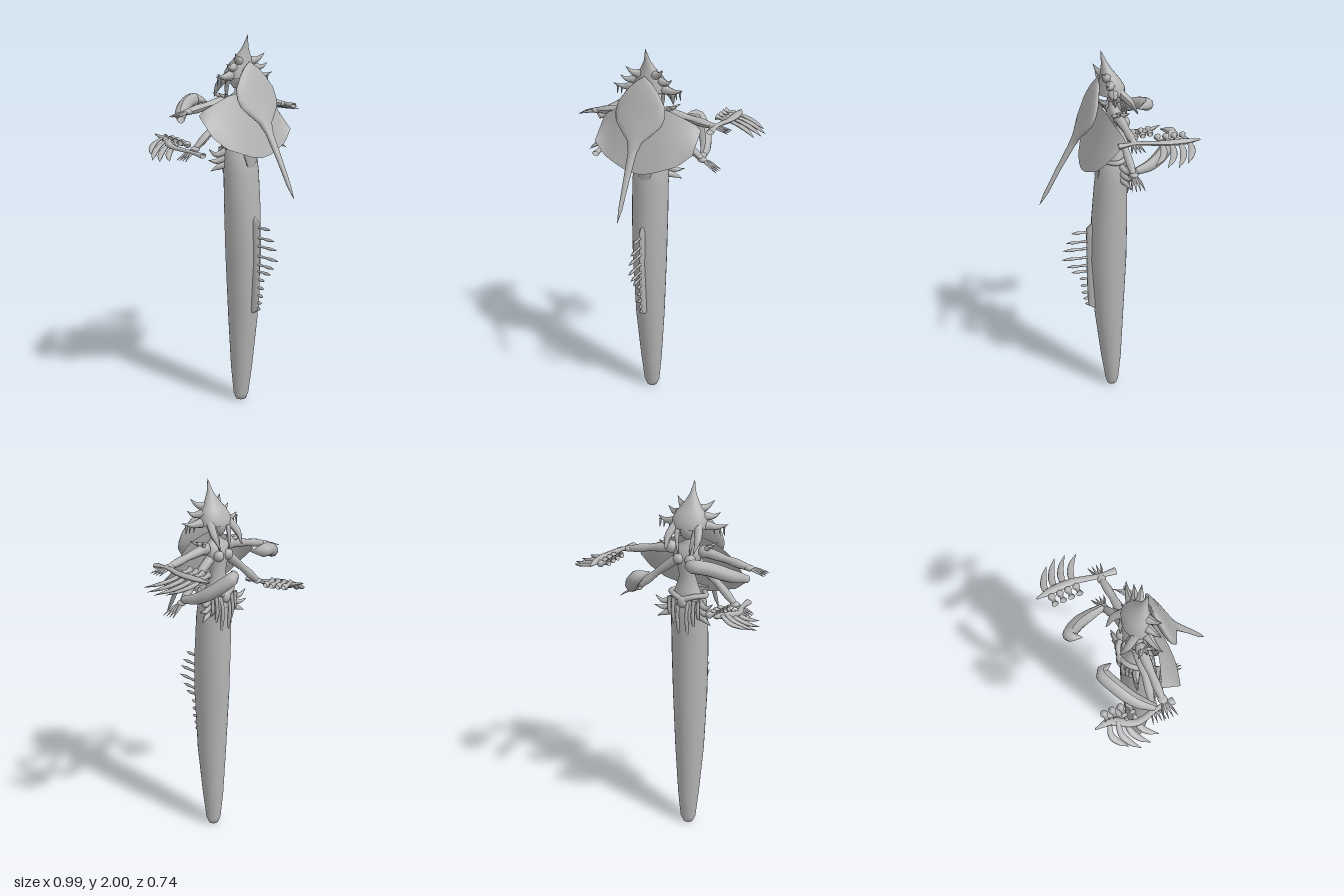
import * as THREE from 'three';

const CX = -0.06; // the body axis sits left of the centre

export function createModel() {
  const model = new THREE.Group();
  const grey = new THREE.MeshStandardMaterial({ color: 0xb4b4b4, side: THREE.DoubleSide });
  grey.name = 'stone grey';
  const add = (name, geometry) => {
    const mesh = new THREE.Mesh(geometry, grey);
    mesh.name = name;
    model.add(mesh);
    return mesh;
  };

  // Stack of horizontal ellipses, bottom to top: [y, z, radiusX, radiusZ]
  const loft = (name, rows, sides = 20, x = CX) => {
    const pos = [], index = [];
    rows.forEach(([y, z, rx, rz], i) => {
      for (let j = 0; j < sides; j++) {
        const a = (j / sides) * Math.PI * 2;
        pos.push(x + rx * Math.cos(a), y, z + rz * Math.sin(a));
        if (i === rows.length - 1) continue;
        const k = (j + 1) % sides, p = i * sides, q = p + sides;
        index.push(p + j, q + j, p + k, p + k, q + j, q + k);
      }
    });
    const g = new THREE.BufferGeometry();
    g.setAttribute('position', new THREE.Float32BufferAttribute(pos, 3));
    g.setIndex(index);
    g.computeVertexNormals();
    return add(name, g);
  };

  // Tapered tube along a curve; flat squashes it vertically
  const limb = (name, points, radii, flat = 1, sides = 8) => {
    const path = new THREE.CatmullRomCurve3(points.map((p) => new THREE.Vector3(...p)));
    const n = (points.length - 1) * 5;
    const g = new THREE.TubeGeometry(path, n, 1, sides, false);
    const pos = g.attributes.position, v = new THREE.Vector3();
    for (let i = 0; i <= n; i++) {
      const c = path.getPointAt(i / n);
      const t = (i / n) * (radii.length - 1), k = Math.min(Math.floor(t), radii.length - 2);
      const r = THREE.MathUtils.lerp(radii[k], radii[k + 1], t - k);
      for (let j = 0; j <= sides; j++) {
        const id = i * (sides + 1) + j;
        v.fromBufferAttribute(pos, id).sub(c).multiplyScalar(r);
        v.y *= flat;
        v.add(c);
        pos.setXYZ(id, v.x, v.y, v.z);
      }
    }
    g.computeVertexNormals();
    return add(name, g);
  };
  const ball = (name, [x, y, z], [a, b, c]) => {
    const m = add(name, new THREE.SphereGeometry(1, 14, 10));
    m.position.set(x, y, z);
    m.scale.set(a, b, c);
  };

  // Long tail
  loft('tail', [
    [0, -0.025, 0.001, 0.001], [0.005, -0.025, 0.03, 0.028], [0.04, -0.025, 0.045, 0.038],
    [0.2, -0.02, 0.06, 0.058], [0.5, -0.008, 0.08, 0.082], [0.85, -0.005, 0.092, 0.1],
    [1.1, -0.01, 0.097, 0.097], [1.3, -0.018, 0.098, 0.087], [1.4, -0.025, 0.092, 0.08],
    [1.44, -0.03, 0.07, 0.06],
  ], 28);

  // Ridge with its row of spines
  loft('tailRidge', [
    [0.53, 0.06, 0.012, 0.005], [0.56, 0.07, 0.018, 0.045], [0.8, 0.07, 0.018, 0.05],
    [1.04, 0.07, 0.018, 0.05], [1.08, 0.06, 0.012, 0.02],
  ], 10);
  [[1.02, 0.2], [0.965, 0.23], [0.92, 0.25], [0.865, 0.258], [0.817, 0.23], [0.78, 0.205],
    [0.735, 0.16], [0.69, 0.155], [0.645, 0.15], [0.605, 0.14], [0.57, 0.13]].forEach(([y, z]) => {
    limb('tailSpine', [[CX, y, 0.08], [CX, y, (z + 0.08) / 2], [CX, y, z]], [0.011, 0.008, 0.006, 0.01, 0.001]);
  });

  // Torso, neck and face
  loft('torso', [
    [1.36, -0.035, 0.09, 0.075], [1.42, -0.04, 0.085, 0.065], [1.48, -0.045, 0.06, 0.05],
    [1.54, -0.045, 0.042, 0.036], [1.6, -0.045, 0.055, 0.045], [1.65, -0.045, 0.075, 0.045],
    [1.69, -0.035, 0.07, 0.034], [1.715, -0.03, 0.026, 0.024], [1.77, -0.03, 0.022, 0.022],
  ]);
  ball('face', [CX, 1.785, -0.04], [0.042, 0.06, 0.048]);

  // Pointed helmet and crest
  loft('helmet', [
    [1.785, -0.02, 0.09, 0.07], [1.82, -0.022, 0.092, 0.066], [1.86, -0.012, 0.072, 0.05],
    [1.9, 0.002, 0.04, 0.03], [1.94, 0.015, 0.016, 0.016], [2, 0.033, 0.001, 0.001],
  ]);

  // Cape: a bulged sheet between a top and a bottom edge
  const edge = (pts, x) => {
    const i = Math.max(1, pts.findIndex((p) => p[0] >= x - 1e-6)), [a, b] = [pts[i - 1], pts[i]];
    return THREE.MathUtils.mapLinear(x, a[0], b[0], a[1], b[1]);
  };
  const cape = new THREE.PlaneGeometry(2, 1, 22, 8), cp = cape.attributes.position;
  for (let i = 0; i < cp.count; i++) {
    const u = cp.getX(i), t = 0.5 - cp.getY(i), x = Math.abs(u);
    const top = edge([[0, 1.73], [0.48, 1.7], [0.9, 1.64], [1, 1.61]], x);
    const low = edge([[0, 1.39], [0.25, 1.4], [0.75, 1.45], [1, 1.51]], x);
    cp.setXYZ(i, CX + 0.275 * u, top + (low - top) * t, 0.035 + 0.105 * t - 0.065 * u * u);
  }
  cape.computeVertexNormals();
  add('cape', cape);

  // Ray-shaped back shield with whip tail
  loft('backRay', [
    [1.21, 0.365, 0.001, 0.001], [1.27, 0.33, 0.01, 0.012], [1.4, 0.26, 0.016, 0.014],
    [1.52, 0.19, 0.023, 0.018], [1.57, 0.16, 0.042, 0.022], [1.61, 0.138, 0.088, 0.026],
    [1.65, 0.118, 0.126, 0.028], [1.69, 0.1, 0.136, 0.028], [1.74, 0.085, 0.128, 0.026],
    [1.8, 0.068, 0.085, 0.02], [1.84, 0.056, 0.045, 0.013], [1.87, 0.047, 0.001, 0.001],
  ], 18);

  // Pointed cloth at the hips
  const cloth = new THREE.ConeGeometry(0.075, 0.19, 16, 1, true);
  cloth.rotateX(Math.PI);
  cloth.scale(1, 1, 0.25);
  add('hipCloth', cloth).position.set(CX, 1.36, 0.058);

  // Paired parts
  for (const s of [-1, 1]) {
    const at = (x, y, z) => [CX + s * x, y, z];
    ball('chest', at(0.032, 1.635, -0.085), [0.028, 0.028, 0.026]);
    ball('shoulder', at(0.09, 1.675, -0.04), [0.034, 0.032, 0.03]);

    // Crown spikes, side horns and fangs
    limb('crownSpike', [at(0.04, 1.87, 0.01), at(0.07, 1.88, 0.03), at(0.1, 1.91, 0.05)], [0.025, 0.013, 0.001]);
    limb('crownSpike', [at(0.07, 1.84, 0), at(0.11, 1.84, 0.02), at(0.14, 1.86, 0.03)], [0.024, 0.013, 0.001]);
    limb('sideHorn', [at(0.08, 1.8, -0.01), at(0.14, 1.795, 0), at(0.19, 1.81, 0.015)], [0.026, 0.014, 0.001]);
    for (const x of [0.12, 0.15, 0.172])
      limb('hornFang', [at(x, 1.8, 0), at(x, 1.78, 0), at(x + 0.004, 1.755, 0)], [0.007, 0.005, 0.001], 1, 5);

    // Face tendrils
    limb('tendril', [at(0.06, 1.8, -0.05), at(0.08, 1.75, -0.1), at(0.075, 1.69, -0.14)], [0.022, 0.018, 0.003]);
    limb('tendril', [at(0.05, 1.79, -0.06), at(0.04, 1.72, -0.085), at(0.03, 1.66, -0.09)], [0.014, 0.01, 0.003]);

    // Shoulder spikes
    for (let i = 0; i < 3; i++)
      limb('shoulderSpike', [at(0.09, 1.69, -0.04), at(0.115, 1.7, -0.06 + i * 0.03),
        at(0.14, 1.715, -0.08 + i * 0.045)], [0.015, 0.01, 0.001], 1, 6);

    // Upper and lower arms with clawed hands
    const arms = [
      [at(0.09, 1.675, -0.04), at(0.21, 1.655, -0.045), at(0.33, 1.632, -0.05), -0.02],
      [at(0.06, 1.62, -0.05), at(0.17, 1.53, -0.055), at(0.27, 1.44, -0.07), -0.05],
    ];
    for (const [a, b, c, drop] of arms) {
      limb('arm', [a, b, c], [0.026, 0.024, 0.018, 0.022, 0.014], 1, 10);
      ball('hand', c, [0.026, 0.015, 0.022]);
      for (let i = 0; i < 4; i++) {
        const dz = (i - 1.5) * 0.014;
        limb('finger', [c, [c[0] + s * 0.045, c[1] + drop * 0.4, c[2] + dz],
          [c[0] + s * 0.09, c[1] + drop, c[2] + dz * 1.6]], [0.01, 0.007, 0.001], 1, 6);
      }
    }

    // Hip fins and hanging strips
    [[1.41, 0.16, 1.425], [1.375, 0.165, 1.37], [1.34, 0.15, 1.31]].forEach(([y, x, tip]) =>
      limb('hipFin', [at(0.075, y, -0.06), at(0.12, y - 0.015, -0.08), at(x, tip, -0.09)], [0.02, 0.014, 0.001]));
    [[0.025, 1.24], [0.055, 1.29], [0.08, 1.33]].forEach(([x, y]) =>
      limb('hipStrip', [at(x, 1.43, -0.09), at(x, 1.36, -0.118 + x * 0.3), at(x, y, -0.108 + x * 0.3)],
        [0.012, 0.009, 0.011, 0.006], 1, 6));
    limb('hipBand', [at(0, 1.43, -0.108), at(0.06, 1.45, -0.09), at(0.095, 1.44, -0.03), at(0.06, 1.44, 0.03)],
      [0.016, 0.014, 0.014, 0.01]);
  }
  ball('beltOrnament', [CX, 1.42, -0.11], [0.026, 0.03, 0.018]);

  // Curved horns held in two of the hands
  limb('curvedHorn', [[-0.4, 1.59, -0.09], [-0.34, 1.62, -0.16], [-0.25, 1.66, -0.22], [-0.17, 1.67, -0.245], [-0.145, 1.66, -0.19]],
    [0.018, 0.03, 0.034, 0.034, 0.034, 0.002], 1, 10);
  limb('curvedHorn', [[0.21, 1.46, -0.08], [0.19, 1.48, -0.16], [0.15, 1.53, -0.24], [0.08, 1.6, -0.3], [0.045, 1.61, -0.25]],
    [0.018, 0.028, 0.033, 0.034, 0.032, 0.002], 1, 10);

  // Rib fans on long bones: side, bone x, height, slope of the ribs, rise of the bone
  for (const [s, x0, y0, slope, rise] of [[1, 0.29, 1.635, 0.28, 0], [-1, -0.365, 1.43, 0.6, 0.06]]) {
    limb('fanBone', [[x0 - s * 0.005, y0 - 0.01, 0.03], [x0, y0, -0.06], [x0 + s * 0.025, y0 + rise * 0.3, -0.18],
      [x0 + 0.025, y0 + rise * 0.6, -0.29], [x0 + 0.015, y0 + rise, -0.37]],
    [0.02, 0.012, 0.015, 0.018, 0.022, 0.02, 0.004], 0.7);
    const reach = s > 0 ? 0.19 : 0.12;
    for (let i = 0; i < 4; i++) {
      const z = -0.3 + i * 0.042, y = y0 + rise * (0.7 - i * 0.1), len = reach + [-0.02, 0.005, 0, -0.02][i];
      const rib = (t, dz) => [x0 + s * t * len, y - t * len * slope, z + dz];
      limb('fanRib', [rib(-0.1, 0), rib(0.35, -0.012 + i * 0.004), rib(0.72, 0.01 + i * 0.005), rib(1.05, 0.045 + i * 0.01)],
        [0.01, 0.014, 0.017, 0.013, 0.001], 0.5);
      const kx = s > 0 ? 0.27 : -0.31;
      limb('fanKnuckle', [[kx - 0.03, y + 0.008, z], [kx, y, z], [kx + 0.03, y - 0.008, z]], [0.018, 0.01, 0.01, 0.02, 0.014]);
    }
  }

  return model;
}
